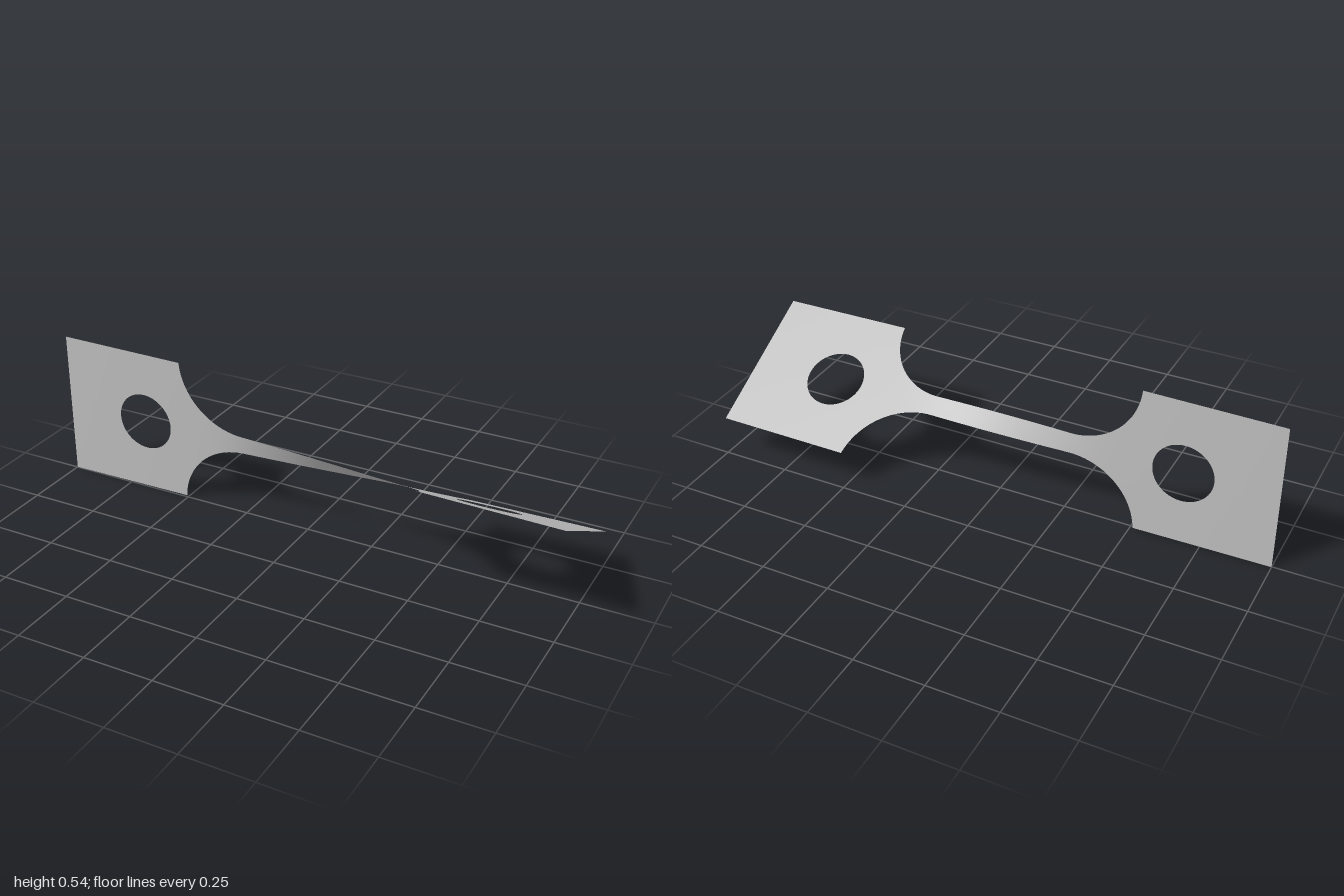
import * as THREE from 'three';
import { mergeVertices } from 'three/addons/utils/BufferGeometryUtils.js';

const HALF = 0.271, NECK = 0.036, NECK_END = 0.26, FILLET = 0.25;
const HOLE_X = 0.67, HOLE_R = 0.108, TWIST = THREE.MathUtils.degToRad(62);

// Half width of the sheet at x: straight neck, round fillet, wide tab
function halfWidth(x) {
  const d = Math.max(0, Math.abs(x) - NECK_END);
  if (d >= FILLET) return HALF;
  return Math.min(HALF, NECK + FILLET - Math.sqrt(FILLET ** 2 - d ** 2));
}

// Half height of the round hole at x
function holeHalf(x) {
  const d = Math.abs(x) - HOLE_X;
  return Math.sqrt(Math.max(0, HOLE_R ** 2 - d ** 2));
}

// Stations along one half, denser round the fillet and the hole
function stations() {
  const half = [];
  for (let i = 0; i < 20; i++) half.push(NECK_END * i / 20);
  const end = Math.acos(1 - (HALF - NECK) / FILLET);
  for (let i = 0; i <= 24; i++) half.push(NECK_END + FILLET * Math.sin(end * i / 24));
  half.push(0.535);
  for (let i = 0; i <= 40; i++) half.push(HOLE_X - HOLE_R * Math.cos(Math.PI * i / 40));
  for (let i = 1; i <= 5; i++) half.push(0.778 + 0.222 * i / 5);
  return [...half.slice(1).reverse().map(x => -x), ...half];
}

// The narrower the sheet, the faster it twists
function twistAngles(xs) {
  const rate = x => (NECK / halfWidth(x)) ** 1.6;
  const sums = [0];
  for (let i = 1; i < xs.length; i++) {
    const mid = (xs[i] + xs[i - 1]) / 2;
    sums.push(sums[i - 1] + rate(mid) * (xs[i] - xs[i - 1]));
  }
  return sums.map(s => 0.006 + (TWIST - 0.006) * s / sums[sums.length - 1]);
}

// Two strips, above and below the centre line, parting round the holes
function twistedSheet() {
  const xs = stations(), angles = twistAngles(xs), rows = 6;
  const positions = [], index = [];
  for (const side of [-1, 1]) {
    const base = positions.length / 3;
    xs.forEach((x, i) => {
      const w = halfWidth(x), h = holeHalf(x);
      for (let j = 0; j <= rows; j++) {
        const v = side * (h + (w - h) * j / rows);
        positions.push(x, HALF + v * Math.cos(angles[i]), v * Math.sin(angles[i]));
        if (i === 0 || j === 0) continue;
        const d = base + i * (rows + 1) + j, c = d - 1;
        const b = d - rows - 1, a = b - 1;
        if (side > 0) index.push(a, c, d, a, d, b);
        else index.push(a, d, c, a, b, d);
      }
    });
  }
  const geometry = new THREE.BufferGeometry();
  geometry.setAttribute('position', new THREE.Float32BufferAttribute(positions, 3));
  geometry.setIndex(index);
  const merged = mergeVertices(geometry, 1e-5);
  merged.computeVertexNormals();
  return merged;
}

export function createModel() {
  const group = new THREE.Group();
  group.name = 'twistedTestStrip';
  const metal = new THREE.MeshStandardMaterial({ color: 0xbfbfbf, side: THREE.DoubleSide });
  metal.name = 'greyMetal';
  const sheet = new THREE.Mesh(twistedSheet(), metal);
  sheet.name = 'twistedSheet';
  group.add(sheet);
  return group;
}
